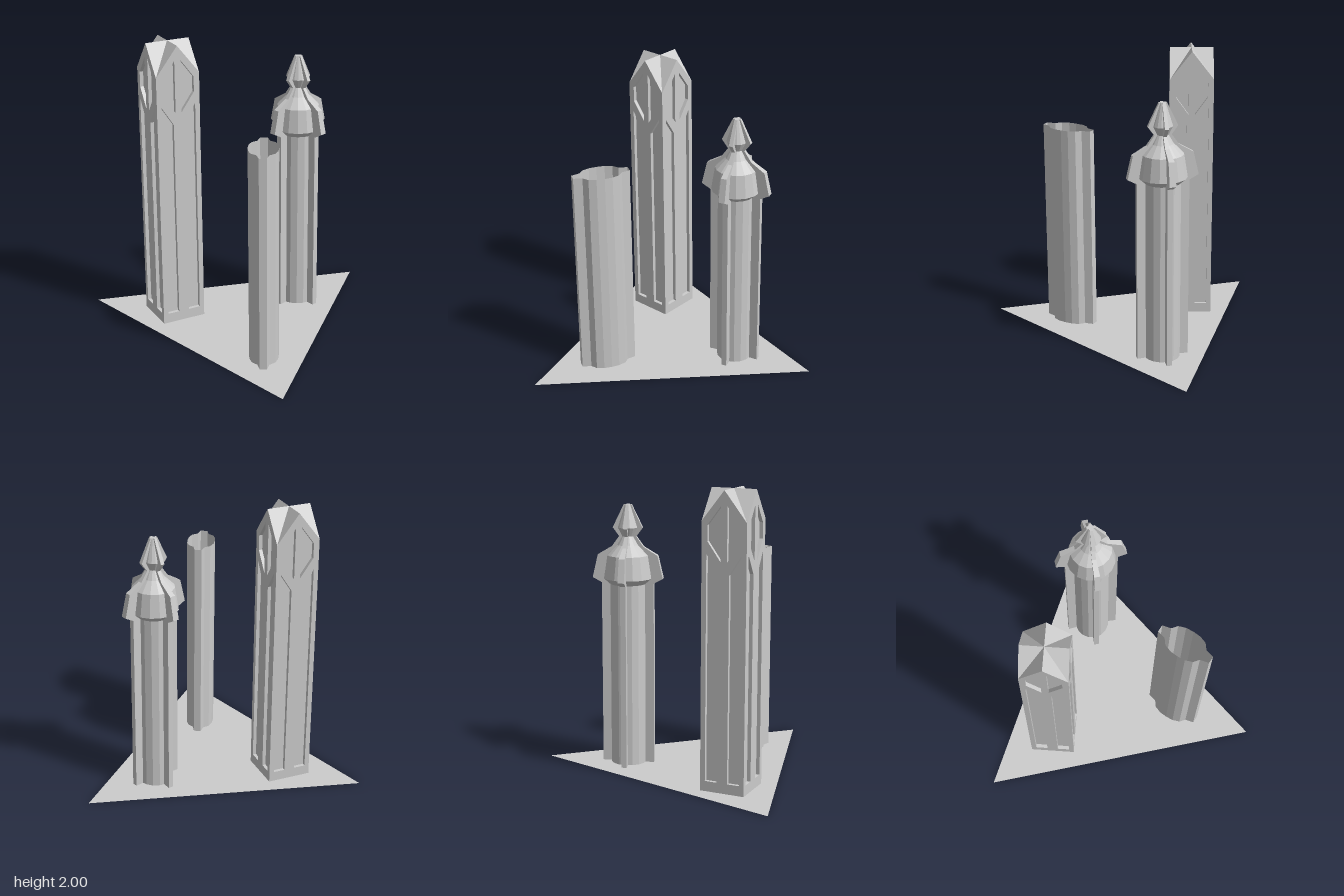
import * as THREE from 'three';

const mat = new THREE.MeshStandardMaterial({ color: 0xcccccc, flatShading: true });
const thinMat = new THREE.MeshStandardMaterial({ color: 0xcccccc, flatShading: true, side: THREE.DoubleSide });

function add(parent, name, geometry, material = mat) {
  const mesh = new THREE.Mesh(geometry, material);
  mesh.name = name;
  parent.add(mesh);
  return mesh;
}

const points = (list) => list.map(([x, y]) => new THREE.Vector2(x, y));
const mirrored = (list) => list.map(([x, y]) => [-x, y]);

// Square tower: four gabled, pierced faces under a cross-gabled roof
function squareTower() {
  const tower = new THREE.Group();
  tower.name = 'squareTower';
  const h = 0.156, depth = 0.025, eave = 1.8, top = 2;
  const gable = points([[-h, 0], [h, 0], [h, eave], [0, top], [-h, eave]]);
  const lowerPanel = [[0.038, 0.07], [0.122, 0.07], [0.122, 1.59], [0.038, 1.46]];
  const windowPanel = [[0.022, 1.54], [0.115, 1.67], [0.115, 1.775], [0.022, 1.9]];
  const face = new THREE.Shape(gable);
  for (const panel of [lowerPanel, windowPanel]) {
    face.holes.push(new THREE.Path(points(panel)), new THREE.Path(points(mirrored(panel))));
  }
  const frameGeo = new THREE.ExtrudeGeometry(face, { depth, bevelEnabled: false });
  frameGeo.translate(0, 0, h - depth);
  const backGeo = new THREE.ShapeGeometry(new THREE.Shape(gable));
  backGeo.translate(0, 0, h - depth);

  // One roof quarter: two triangles meeting in the valley that runs to a corner
  const roofGeo = new THREE.BufferGeometry();
  roofGeo.setAttribute('position', new THREE.Float32BufferAttribute([
    0, top, 0, 0, top, h, h, eave, h,
    0, top, 0, h, eave, h, h, top, 0,
  ], 3));
  roofGeo.computeVertexNormals();

  for (let i = 0; i < 4; i++) {
    const side = new THREE.Group();
    side.name = 'towerSide';
    side.rotation.y = i * Math.PI / 2;
    add(side, 'tracery', frameGeo);
    add(side, 'recessedPanel', backGeo);
    add(side, 'roofQuarter', roofGeo);
    tower.add(side);
  }
  tower.position.set(-0.445, 0, 0.533);
  tower.rotation.y = -0.272;
  return tower;
}

// Round tower: turned core with four buttress fins following its outline
function roundTower() {
  const tower = new THREE.Group();
  tower.name = 'roundTower';
  const core = [[0.125, 0], [0.125, 1.28], [0.17, 1.32], [0.145, 1.48], [0.075, 1.55],
    [0.04, 1.61], [0.07, 1.67], [0.02, 1.83], [0, 1.83]];
  add(tower, 'towerCore', new THREE.LatheGeometry(points(core), 16));

  const fin = [[0, 0], [0.183, 0], [0.183, 1.285], [0.247, 1.32], [0.21, 1.48], [0.11, 1.54],
    [0.06, 1.61], [0.104, 1.67], [0.027, 1.83], [0, 1.83]];
  const finGeo = new THREE.ExtrudeGeometry(new THREE.Shape(points(fin)), { depth: 2, bevelEnabled: false });
  // Fins thicken outwards from the axis
  const p = finGeo.attributes.position;
  for (let i = 0; i < p.count; i++) {
    p.setZ(i, (p.getZ(i) - 1) * (0.008 + 0.06 * p.getX(i)));
  }
  finGeo.computeVertexNormals();
  for (let i = 0; i < 4; i++) {
    add(tower, 'buttressFin', finGeo).rotation.y = i * Math.PI / 2;
  }
  tower.position.set(0, 0, -0.255);
  return tower;
}

// Open shaft: hollow wall around a rounded body with a rib at each end
function openShaft() {
  const height = 1.48;
  // [across, along] for one quarter of the plan
  const quarter = [[0.025, 0.195], [0.04, 0.135], [0.078, 0.105], [0.096, 0.055]];
  const half = [...quarter, [0.1, 0], ...quarter.map(([a, l]) => [a, -l]).reverse()];
  const plan = [...half, ...half.map(([a, l]) => [-a, -l])];
  const geo = new THREE.CylinderGeometry(1, 1, height, plan.length, 1, true);
  const p = geo.attributes.position;
  for (let i = 0; i < p.count; i++) {
    const [x, z] = plan[(i % (plan.length + 1)) % plan.length];
    p.setXYZ(i, x, p.getY(i) + height / 2, z);
  }
  geo.computeVertexNormals();
  const shaft = new THREE.Mesh(geo, thinMat);
  shaft.name = 'openShaft';
  shaft.position.set(0.468, 0, 0.525);
  shaft.rotation.y = Math.PI / 4;
  return shaft;
}

export function createModel() {
  const model = new THREE.Group();
  model.name = 'threeTowers';
  // Thin triangular ground plate
  const plate = new THREE.ShapeGeometry(new THREE.Shape(points([[-0.962, -0.833], [0.962, -0.833], [0, 0.833]])));
  plate.rotateX(-Math.PI / 2);
  add(model, 'basePlate', plate, thinMat);
  model.add(squareTower(), roundTower(), openShaft());
  return model;
}
